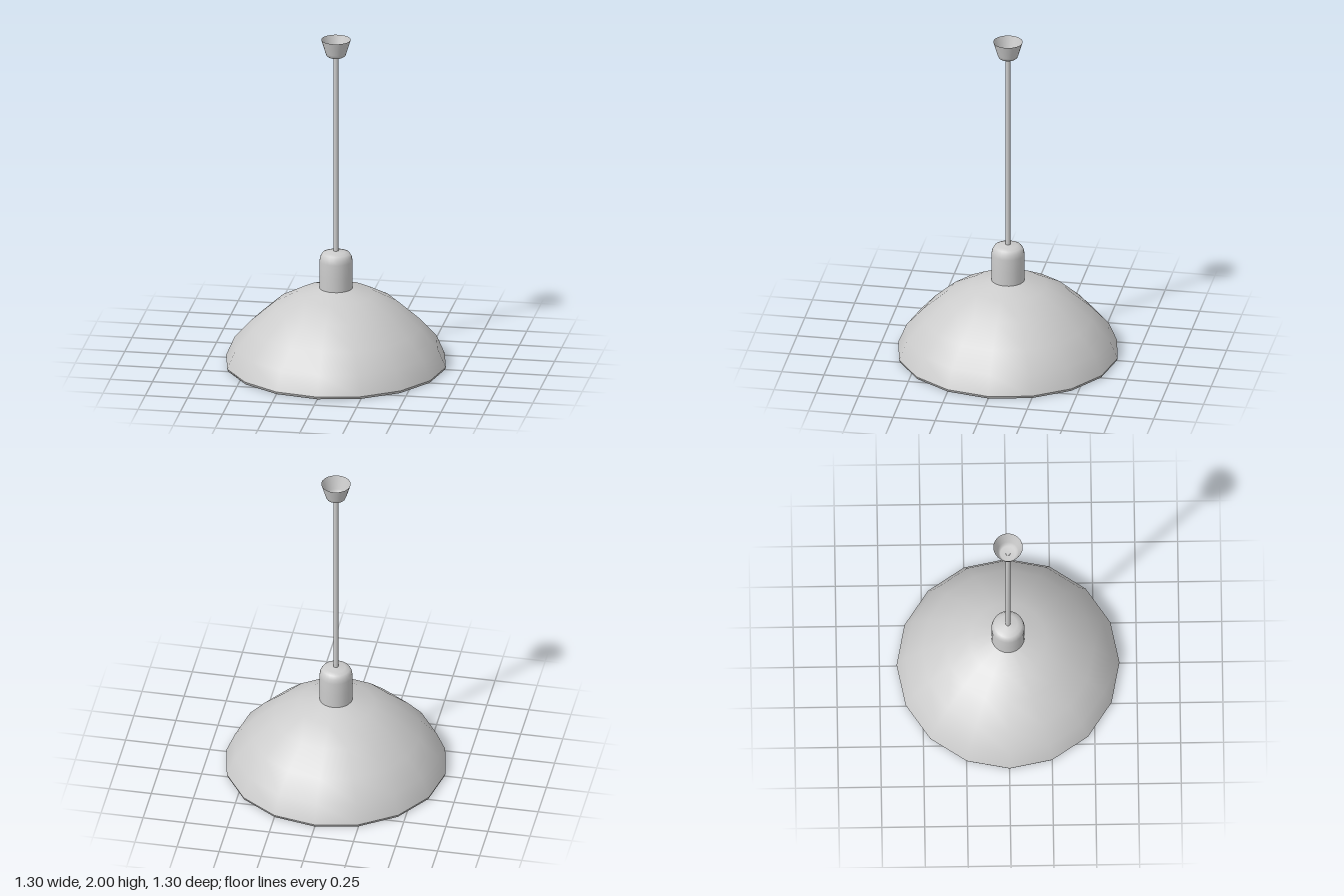
import * as THREE from 'three';

const material = new THREE.MeshStandardMaterial({ color: 0xcccccc, side: THREE.DoubleSide });

// Surface of revolution from [radius, height] pairs listed bottom to top on the outside.
function turned(name, profile, sides) {
  const points = profile.map(([r, y]) => new THREE.Vector2(r, y));
  const geometry = new THREE.LatheGeometry(points, sides);
  const mesh = new THREE.Mesh(geometry, material);
  mesh.name = name;
  return mesh;
}

export function createModel() {
  const lamp = new THREE.Group();
  lamp.name = 'pendantLamp';

  // Sixteen-sided dome with a thin wall: inner skin, lip, outer skin
  const outer = [[0.65, 0.015], [0.6, 0.13], [0.5, 0.24], [0.365, 0.36], [0.225, 0.435], [0.09, 0.472]];
  const inner = [[0.08, 0.457], [0.217, 0.42], [0.355, 0.346], [0.487, 0.23], [0.585, 0.122], [0.632, 0.003]];
  lamp.add(turned('shadeInside', inner, 16));
  lamp.add(turned('shadeLip', [[0.632, 0.003], [0.645, 0], [0.65, 0.015]], 16));
  lamp.add(turned('shadeOutside', outer, 16));

  // Socket housing with a rounded shoulder
  lamp.add(turned('socketHousing', [
    [0, 0.44], [0.096, 0.44], [0.097, 0.46], [0.097, 0.55], [0.097, 0.635],
    [0.092, 0.662], [0.08, 0.682], [0.055, 0.69], [0.012, 0.697],
  ], 24));

  // Round bulb: spherical glass running into a narrow neck
  const bulb = [];
  for (let i = 0; i <= 12; i++) {
    const a = (i / 12) * Math.PI * 0.82;
    bulb.push([0.12 * Math.sin(a), 0.27 - 0.12 * Math.cos(a)]);
  }
  bulb.push([0.055, 0.395], [0.05, 0.45]);
  lamp.add(turned('bulb', bulb, 24));

  // Suspension rod
  const rod = new THREE.Mesh(new THREE.CylinderGeometry(0.014, 0.014, 1.22, 12), material);
  rod.name = 'suspensionRod';
  rod.position.y = 1.29;
  lamp.add(rod);

  // Open ceiling cup
  lamp.add(turned('ceilingCup', [
    [0, 1.895], [0.045, 1.895], [0.055, 1.902], [0.062, 1.92], [0.086, 2],
  ], 24));

  return lamp;
}
